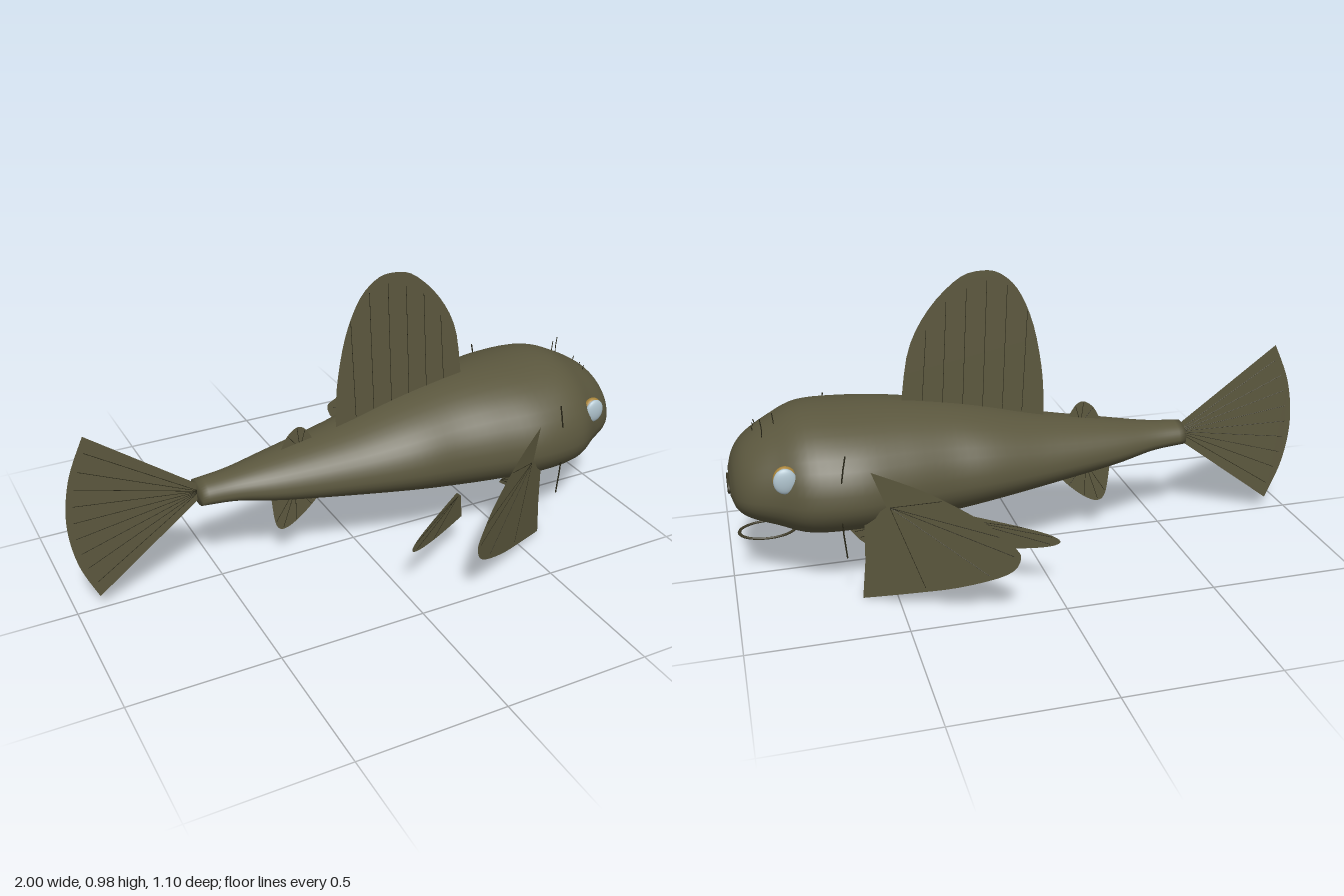
import * as THREE from 'three';

const mat = (name, color, side = THREE.FrontSide) => {
  const m = new THREE.MeshStandardMaterial({ color, side });
  m.name = name;
  return m;
};

export function createModel() {
  const skin = mat('olive skin', 0x5b573e);
  const finMat = mat('olive fin', 0x5c583e, THREE.DoubleSide);
  const dark = mat('dark line', 0x2a2819);
  const lip = mat('dark olive lip', 0x3c3825);
  const gold = mat('gold eye', 0xa8843a);
  const pale = mat('pale lens', 0xb0c4ce);

  const model = new THREE.Group();
  const add = (name, geo, material, parent = model) => {
    const mesh = new THREE.Mesh(geo, material);
    mesh.name = name;
    parent.add(mesh);
    return mesh;
  };
  const V = (x, y, z = 0) => new THREE.Vector3(x, y, z);
  const line = (name, points, r, parent) =>
    add(name, new THREE.TubeGeometry(new THREE.CatmullRomCurve3(points), 8, r, 5), dark, parent);

  // Body cross-sections: x, top, bottom, half width
  const sections = [
    [-0.57, 0.39, 0.31, 0.06], [-0.45, 0.40, 0.30, 0.075], [-0.3, 0.425, 0.27, 0.115],
    [-0.05, 0.47, 0.235, 0.175], [0.15, 0.52, 0.21, 0.225], [0.3, 0.55, 0.19, 0.245],
    [0.45, 0.572, 0.183, 0.28], [0.6, 0.582, 0.183, 0.31], [0.75, 0.583, 0.185, 0.295],
    [0.85, 0.545, 0.213, 0.235], [0.93, 0.495, 0.24, 0.185], [0.97, 0.445, 0.268, 0.135],
    [0.988, 0.39, 0.31, 0.075],
  ];
  const profile = new THREE.CatmullRomCurve3(sections.map(s => V(s[0], s[1], s[2])), false, 'catmullrom');
  const widths = new THREE.CatmullRomCurve3(sections.map(s => V(s[0], s[3])), false, 'catmullrom');
  const rings = 60, sides = 40, pos = [], index = [];
  for (let i = -1; i <= rings + 1; i++) {
    const t = Math.min(1, Math.max(0, i / rings));
    const p = profile.getPoint(t), w = widths.getPoint(t).y;
    const k = i < 0 || i > rings ? 0.001 : 1; // closed ends
    const mid = p.z + 0.41 * (p.y - p.z); // widest below the middle
    for (let j = 0; j < sides; j++) {
      const a = (j / sides) * Math.PI * 2, c = Math.cos(a);
      pos.push(p.x, mid + (c > 0 ? p.y - mid : mid - p.z) * c * k, w * Math.sin(a) * k);
    }
  }
  for (let i = 0; i < rings + 2; i++) for (let j = 0; j < sides; j++) {
    const a = i * sides + j, b = i * sides + (j + 1) % sides;
    index.push(a, b, a + sides, b, b + sides, a + sides);
  }
  const body = new THREE.BufferGeometry();
  body.setAttribute('position', new THREE.Float32BufferAttribute(pos, 3));
  body.setIndex(index);
  body.computeVertexNormals();
  add('body', body, skin);

  // A thin fin: curved edge, straight root points, rays, and a rule that places it in depth
  function fin(name, edge, root, rays, zAt = () => 0) {
    const g = new THREE.Group();
    g.name = name;
    const curve = new THREE.SplineCurve(edge.map(p => new THREE.Vector2(...p)));
    const shape = new THREE.Shape([...curve.getPoints(32), ...root.map(p => new THREE.Vector2(...p))]);
    const geo = new THREE.ShapeGeometry(shape), P = geo.attributes.position;
    for (let i = 0; i < P.count; i++) P.setZ(i, zAt(P.getX(i)));
    geo.computeVertexNormals();
    add(name + 'Web', geo, finMat, g);
    for (const [a, b] of rays(curve))
      line(name + 'Ray', [V(...a, zAt(a[0])), V(...b, zAt(b[0]))], 0.001, g);
    model.add(g);
  }
  // Rays spreading from one point to the fin edge
  const fan = (apex, n, reach = 0.95) => curve => Array.from({ length: n }, (_, i) => {
    const p = curve.getPoint((i + 1) / (n + 1));
    return [apex, [apex[0] + (p.x - apex[0]) * reach, apex[1] + (p.y - apex[1]) * reach]];
  });

  // Middle fins
  const dorsalRays = () => [0.84, 0.93, 0.95, 0.93, 0.89, 0.8].map((top, i) => {
    const x = 0.01 + i * 0.068;
    return [[x, 0.49 + i * 0.014], [x - 0.02, top]];
  });
  fin('dorsalFin', [[-0.067, 0.5], [-0.06, 0.63], [-0.03, 0.79], [0.02, 0.91], [0.08, 0.97], [0.14, 0.985],
    [0.22, 0.965], [0.32, 0.87], [0.39, 0.74], [0.42, 0.56]], [[0.4, 0.53], [-0.065, 0.44]], dorsalRays);
  fin('rearDorsalFin', [[-0.27, 0.43], [-0.245, 0.475], [-0.21, 0.5], [-0.18, 0.488], [-0.15, 0.44]],
    [[-0.2, 0.41]], fan([-0.2, 0.42], 3));
  fin('analFin', [[-0.31, 0.25], [-0.297, 0.15], [-0.27, 0.12], [-0.22, 0.14], [-0.16, 0.19], [-0.12, 0.235]],
    [[-0.12, 0.27], [-0.3, 0.29]], fan([-0.22, 0.27], 4));
  fin('tailFin', [[-0.92, 0.64], [-0.978, 0.5], [-1, 0.345], [-0.978, 0.19], [-0.92, 0.05]],
    [[-0.56, 0.325], [-0.56, 0.375]], fan([-0.56, 0.35], 9));

  // Paired parts
  for (const s of [1, -1]) {
    const side = s > 0 ? 'Right' : 'Left';
    fin('pectoralFin' + side, [[0.57, 0.45], [0.42, 0.41], [0.27, 0.34], [0.185, 0.27], [0.165, 0.23],
      [0.2, 0.17], [0.33, 0.1], [0.47, 0.05], [0.61, 0.005]], [[0.598, 0.14], [0.595, 0.28], [0.53, 0.34]],
      fan([0.52, 0.34], 5), x => s * (0.658 - 0.652 * x));
    fin('pelvicFin' + side, [[0.27, 0.25], [0.12, 0.235], [0.03, 0.22], [0, 0.2], [0.04, 0.175],
      [0.15, 0.15], [0.31, 0.13]], [[0.3, 0.22]], fan([0.28, 0.23], 4), x => s * (0.42 - 0.645 * x));
    fin('bellyFin' + side, [[0.57, 0.135], [0.6, 0.155], [0.63, 0.19]], [[0.59, 0.25], [0.437, 0.25]],
      fan([0.45, 0.25], 3), x => s * (0.56 - 0.71 * x));

    // Eye: gold ball with a pale lens on its outer side
    const eye = new THREE.Group();
    eye.name = 'eye' + side;
    eye.position.set(0.825, 0.433, s * 0.23);
    const ball = add('eyeball', new THREE.SphereGeometry(1, 24, 16), gold, eye);
    ball.scale.set(0.038, 0.045, 0.024);
    const lens = add('lens', new THREE.SphereGeometry(1, 24, 16), pale, eye);
    lens.scale.set(0.036, 0.042, 0.014);
    lens.position.set(0.001, 0, s * 0.0125);
    model.add(eye);

    // Gill slit
    line('gillSlit' + side, [V(0.645, 0.515, s * 0.288), V(0.66, 0.43, s * 0.289),
      V(0.665, 0.3, s * 0.289), V(0.655, 0.17, s * 0.288)], 0.0025, model);
  }

  // Mouth ring and the loop hanging below the chin
  const mouth = add('mouth', new THREE.TorusGeometry(0.058, 0.0045, 8, 40), lip);
  mouth.rotation.y = Math.PI / 2;
  mouth.scale.set(1, 0.42, 1);
  mouth.position.set(0.991, 0.342, 0);
  const loop = add('chinLoop', new THREE.TorusGeometry(0.065, 0.004, 8, 40), lip);
  loop.rotation.x = Math.PI / 2;
  loop.scale.set(1.4, 1, 1);
  loop.position.set(0.88, 0.16, 0);

  // Fine bristles on the forehead
  for (const [x, z, top] of [[0.84, -0.045, 0.585], [0.88, -0.075, 0.58], [0.9, 0.045, 0.525], [0.895, 0.075, 0.525], [0.905, 0, 0.53]])
    line('bristle', [V(x, 0.49, z), V(x - 0.004, (0.49 + top) / 2, z), V(x, top, z)], 0.0016, model);

  return model;
}
